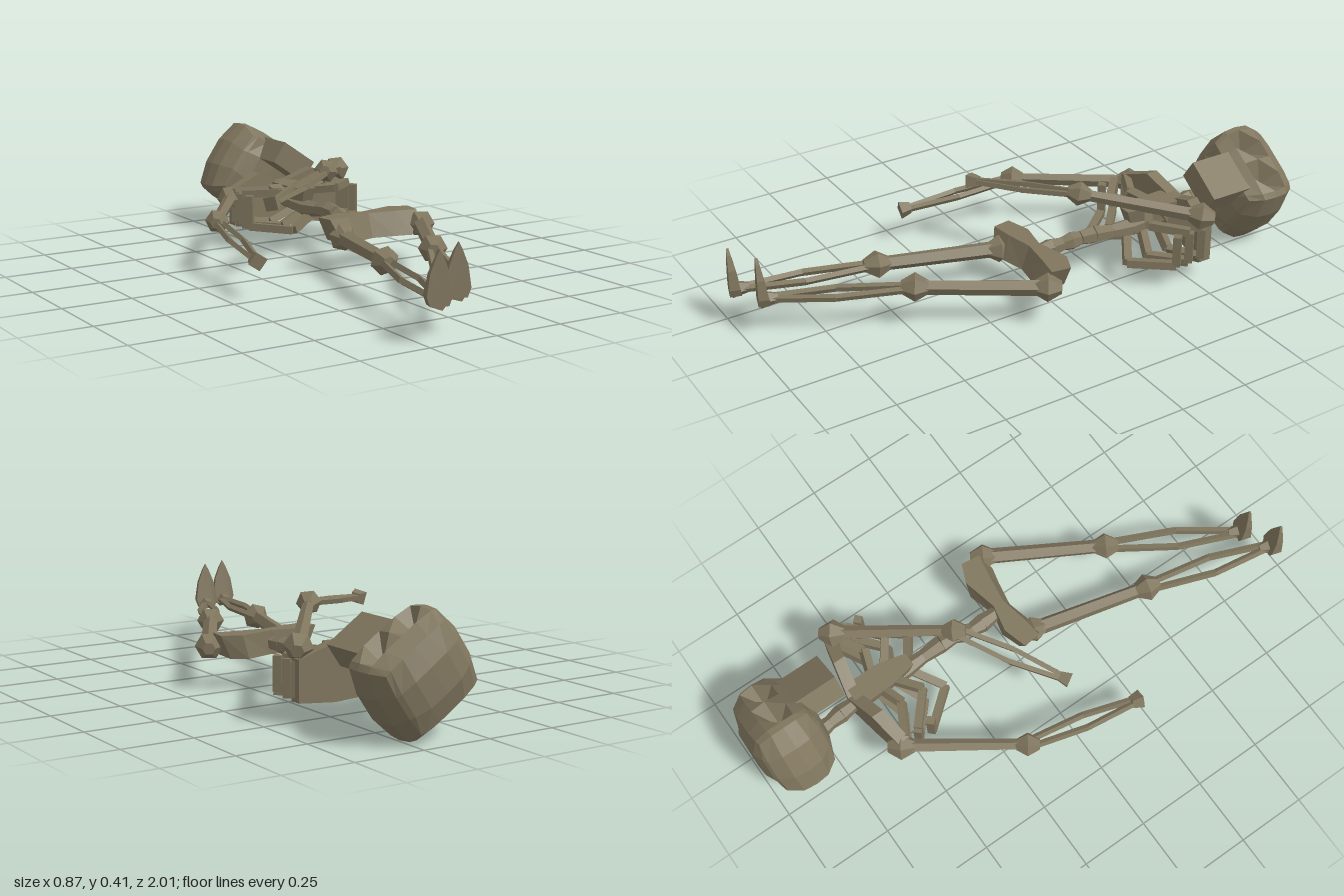
import * as THREE from 'three';

const bone = new THREE.MeshStandardMaterial({ color: 0x80765e, flatShading: true, side: THREE.DoubleSide });
const V = (x, y, z) => new THREE.Vector3(x, y, z);

function add(parent, name, geometry) {
  const mesh = new THREE.Mesh(geometry, bone);
  mesh.name = name;
  parent.add(mesh);
  return mesh;
}

// straight tapered bone between two points
function rod(parent, name, a, b, r0, r1 = r0, sides = 5) {
  const mesh = add(parent, name, new THREE.CylinderGeometry(r1, r0, a.distanceTo(b), sides));
  mesh.position.copy(a).add(b).multiplyScalar(0.5);
  mesh.quaternion.setFromUnitVectors(V(0, 1, 0), b.clone().sub(a).normalize());
}

function chain(parent, name, points, r) {
  for (let i = 1; i < points.length; i++) rod(parent, name, points[i - 1], points[i], r, r, 4);
}

// knobbly joint whose axis follows the limb
function joint(parent, name, p, towards, r) {
  const mesh = add(parent, name, new THREE.CylinderGeometry(r * 0.45, r * 0.45, r * 1.9, 6, 2));
  const q = mesh.geometry.attributes.position;
  for (let i = 0; i < q.count; i++) {
    if (Math.abs(q.getY(i)) < 1e-4) q.setXYZ(i, q.getX(i) / 0.45, 0, q.getZ(i) / 0.45);
  }
  mesh.position.copy(p);
  mesh.quaternion.setFromUnitVectors(V(0, 1, 0), towards.clone().sub(p).normalize());
}

// two thin bones that bow apart between a joint and the limb's end
function pairedBones(parent, name, a, b, bow, r) {
  const side = b.clone().sub(a).cross(V(0, 1, 0)).normalize();
  for (const s of [-1, 1]) {
    const at = (t, k) => a.clone().lerp(b, t).addScaledVector(side, s * k);
    chain(parent, name, [at(0, 0.012), at(0.55, bow), at(1, 0.008)], r);
  }
}

// flat outline in x/z with a thickness in y; its top and bottom edges are moved by a rule
function slab(parent, name, points, height, rule) {
  const shape = new THREE.Shape(points.map(([x, z]) => new THREE.Vector2(x, -z)));
  const g = new THREE.ExtrudeGeometry(shape, { depth: height, bevelEnabled: false });
  g.rotateX(-Math.PI / 2);
  const p = g.attributes.position;
  for (let i = 0; i < p.count; i++) {
    const v = V().fromBufferAttribute(p, i);
    rule(v, v.y > height / 2);
    p.setXYZ(i, v.x, v.y, v.z);
  }
  return add(parent, name, g);
}

function buildHead() {
  const head = new THREE.Group();
  head.name = 'head';
  // squarish rounded block with two sunken eye sockets; local +y is the face
  const g = new THREE.BoxGeometry(2, 2, 2, 6, 3, 4);
  const p = g.attributes.position;
  for (let i = 0; i < p.count; i++) {
    const v = V().fromBufferAttribute(p, i);
    const eye = v.y > 0.99 && Math.abs(Math.abs(v.x) - 1 / 3) < 0.05 && Math.abs(v.z) < 0.05;
    if (Math.abs(v.x) < 0.9) v.x *= 1.2;
    if (Math.abs(v.z) < 0.9) v.z *= 0.85;
    const around = Math.pow(Math.abs(v.x) ** 5 + Math.abs(v.y) ** 5, 0.2);
    v.divideScalar(Math.pow(around ** 2.7 + Math.abs(v.z) ** 2.7, 1 / 2.7));
    if (eye) v.y = 0.55;
    p.setXYZ(i, v.x * 0.178, v.y * 0.162, v.z * 0.134);
  }
  add(head, 'skull', g);
  add(head, 'jaw', new THREE.BoxGeometry(0.16, 0.09, 0.2)).position.set(0.01, 0.094, 0.143);
  head.position.set(0.193, 0.203, -0.866);
  head.rotation.z = -0.6;
  return head;
}

function buildTorso() {
  const torso = new THREE.Group();
  torso.name = 'torso';
  const cx = 0.17;

  // spine with swollen vertebrae
  const spine = new THREE.CatmullRomCurve3([
    V(0.14, 0.17, -0.76), V(0.155, 0.17, -0.62), V(0.165, 0.14, -0.42),
    V(0.165, 0.16, -0.2), V(0.15, 0.15, -0.1), V(0.155, 0.15, 0.04)]);
  const count = 14;
  for (let i = 0; i < count; i++) {
    const r = i % 2 ? [0.026, 0.034] : [0.034, 0.026];
    rod(torso, 'vertebra', spine.getPoint(i / count), spine.getPoint((i + 1) / count), r[0], r[1], 6);
  }

  // breastbone
  const breast = [[-0.05, -0.12], [0.05, -0.12], [0.05, 0.02], [0.025, 0.12], [-0.025, 0.12], [-0.045, 0.02]];
  slab(torso, 'breastbone', breast, 0.05, (v, top) => { if (!top) v.multiplyScalar(0.85); })
    .position.set(0.165, 0.17, -0.48);

  for (const s of [-1, 1]) {
    // solid shoulder plate closing the top of the rib cage
    const outline = [[0.0, 0.21], [0.12, 0.262], [0.24, 0.215], [0.24, 0.075], [0.12, 0.07], [0.0, 0.085]];
    const shape = new THREE.Shape(outline.map(([x, y]) => new THREE.Vector2(s * x, y)));
    const g = new THREE.ExtrudeGeometry(shape, { depth: 0.045, bevelEnabled: false });
    const p = g.attributes.position;
    for (let i = 0; i < p.count; i++) p.setZ(i, p.getZ(i) + 0.05 * Math.abs(p.getX(i)) / 0.24);
    add(torso, 'shoulderPlate', g).position.set(cx, 0, -0.615);

    // ribs run back from the spine, dip, then turn up the flank
    for (let i = 0; i < 3; i++) {
      const z = -0.53 + i * 0.053;
      const dip = z + 0.06 + i * 0.036;
      const path = [V(cx, 0.115, z + 0.02 + i * 0.016), V(cx + s * 0.12, 0.085, dip),
        V(cx + s * 0.23, 0.088, z), V(cx + s * 0.23, 0.205, z)];
      if (i < 2) path.push(V(cx + s * 0.12, 0.21, dip), V(cx + s * 0.03, 0.2, z + 0.03));
      chain(torso, 'rib', path, 0.02);
    }
  }

  // pelvis: a winged block whose front face slopes down and forward
  const wings = [[-0.19, -0.01], [-0.1, -0.035], [0, -0.015], [0.13, -0.045], [0.2, -0.015], [0.19, 0.085],
    [0.11, 0.07], [0, 0.055], [-0.1, 0.075], [-0.18, 0.085]];
  slab(torso, 'pelvis', wings, 0.085, (v, top) => {
    if (top && v.z > 0) v.z -= 0.03;
    if (!top) v.x *= 0.8;
  }).position.set(0.165, 0.11, 0.015);
  return torso;
}

function buildArm(name, shoulder, elbow, hand) {
  const arm = new THREE.Group();
  arm.name = name;
  joint(arm, 'shoulder', shoulder, elbow, 0.05);
  rod(arm, 'upperArm', shoulder, elbow, 0.026, 0.02);
  joint(arm, 'elbow', elbow, shoulder, 0.044);
  pairedBones(arm, 'forearm', elbow, hand, 0.024, 0.012);
  const tip = hand.clone().sub(elbow).setLength(0.04).add(hand);
  rod(arm, 'hand', hand, tip, 0.022, 0.034, 4);
  return arm;
}

function buildLeg(name, hip, knee, ankle) {
  const leg = new THREE.Group();
  leg.name = name;
  joint(leg, 'hip', hip, knee, 0.05);
  rod(leg, 'thigh', hip, knee, 0.03, 0.026);
  joint(leg, 'knee', knee, hip, 0.05);
  pairedBones(leg, 'shin', knee, ankle, 0.032, 0.013);
  rod(leg, 'heel', ankle.clone().lerp(knee, 0.05), ankle.clone().add(V(-0.01, 0, 0.035)), 0.018, 0.032);

  // leaf-shaped foot with its toes pointing up
  const shape = new THREE.Shape([[-0.03, -0.015], [0.03, -0.015], [0.041, 0.015], [0.031, 0.085], [0.012, 0.135],
    [0, 0.158], [-0.012, 0.135], [-0.031, 0.085], [-0.041, 0.015]].map(([x, y]) => new THREE.Vector2(x, y)));
  const g = new THREE.ExtrudeGeometry(shape, { depth: 0.04, bevelEnabled: false });
  const p = g.attributes.position;
  for (let i = 0; i < p.count; i++) {
    const t = Math.max(0, p.getY(i)) / 0.16;
    p.setZ(i, p.getZ(i) * (1 - 0.8 * t) + 0.028 * t);
  }
  const foot = add(leg, 'foot', g);
  foot.position.copy(ankle).add(V(-0.004, 0, 0.005));
  foot.rotation.y = -0.3;
  return leg;
}

export function createModel() {
  const model = new THREE.Group();
  model.name = 'skeleton';
  model.add(
    buildHead(),
    buildTorso(),
    buildArm('leftArm', V(0.39, 0.25, -0.53), V(0.13, 0.318, -0.19), V(-0.205, 0.275, 0.02)),
    buildArm('rightArm', V(-0.07, 0.175, -0.555), V(-0.32, 0.178, -0.195), V(-0.395, 0.132, 0.2)),
    buildLeg('leftLeg', V(0.36, 0.145, 0.09), V(0.135, 0.155, 0.475), V(-0.09, 0.135, 0.9)),
    buildLeg('rightLeg', V(0.03, 0.13, 0.08), V(-0.08, 0.145, 0.505), V(-0.2, 0.135, 0.955)),
  );
  return model;
}
